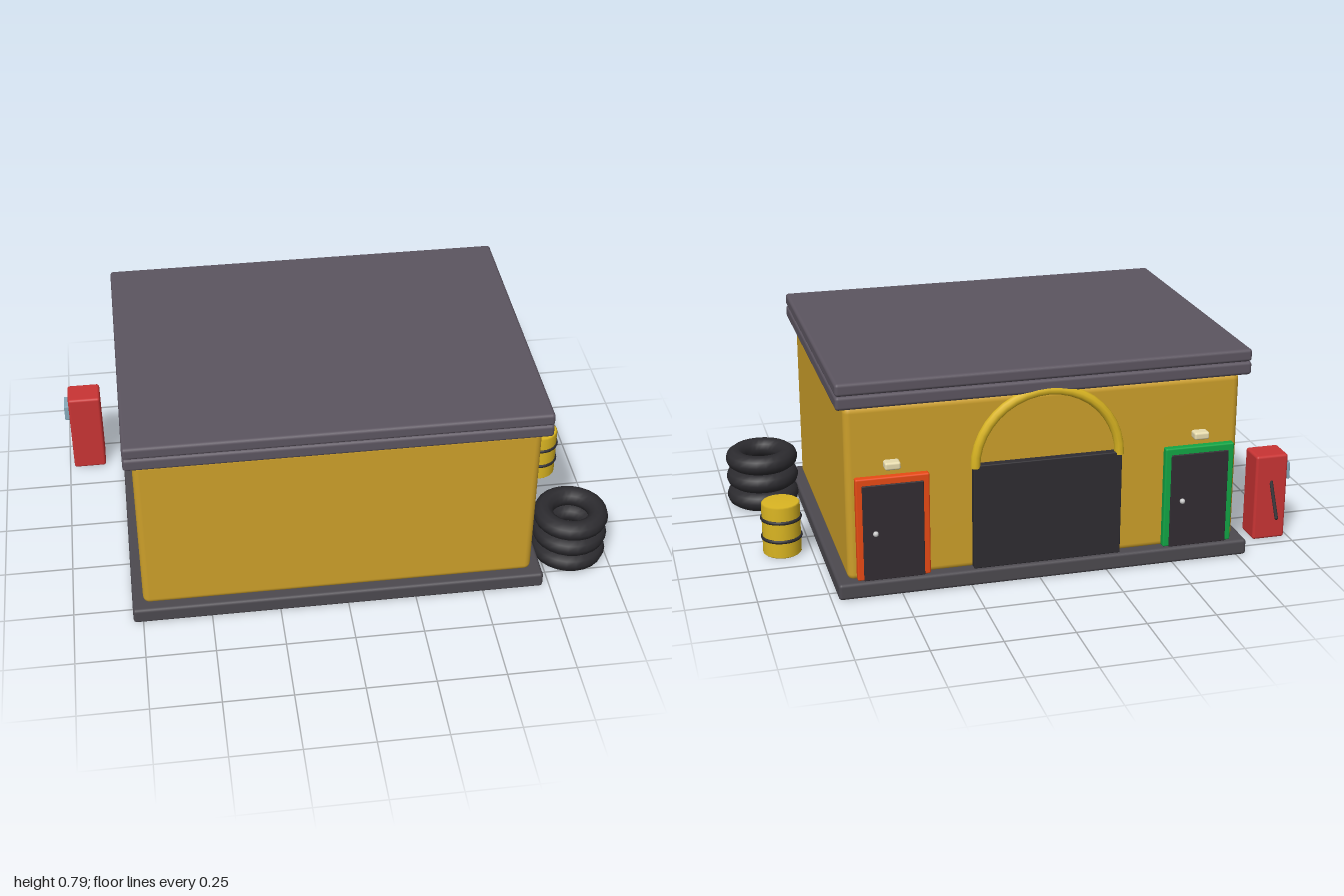
import * as THREE from 'three';
import { RoundedBoxGeometry } from 'three/addons/geometries/RoundedBoxGeometry.js';

const mat = (color) => new THREE.MeshStandardMaterial({ color });
const M = {
  wall: mat(0xcc9f2a), roof: mat(0x5c5560), base: mat(0x4c494f), door: mat(0x322c32),
  shutter: mat(0x2e2c31), orange: mat(0xe84a14), green: mat(0x12a545), yellow: mat(0xdab522),
  rubber: mat(0x2c2b2f), red: mat(0xc93434), screen: mat(0x86a9ba), lamp: mat(0xe8dcae), knob: mat(0xcccccc),
};
const CX = -0.03; // centre line of the building

export function createModel() {
  const root = new THREE.Group();

  const add = (parent, name, geometry, material, x = 0, y = 0, z = 0) => {
    const mesh = new THREE.Mesh(geometry, material);
    mesh.name = name;
    mesh.position.set(x, y, z);
    parent.add(mesh);
    return mesh;
  };
  // Rounded box given by its extents on each axis
  const block = (parent, name, material, [x0, x1], [y0, y1], [z0, z1], r) =>
    add(parent, name, new RoundedBoxGeometry(x1 - x0, y1 - y0, z1 - z0, 3, r), material,
      (x0 + x1) / 2, (y0 + y1) / 2, (z0 + z1) / 2);
  const group = (name) => {
    const g = new THREE.Group();
    g.name = name;
    root.add(g);
    return g;
  };

  // Building shell
  const building = group('building');
  block(building, 'baseSlab', M.base, [-0.785, 0.725], [0, 0.06], [-0.57, 0.575], 0.012);
  block(building, 'walls', M.wall, [-0.745, 0.685], [0.05, 0.695], [-0.53, 0.535], 0.025);
  block(building, 'lowerRoof', M.roof, [-0.775, 0.715], [0.695, 0.744], [-0.56, 0.567], 0.012);
  block(building, 'upperRoof', M.roof, [-0.775, 0.715], [0.744, 0.79], [-0.56, 0.567], 0.012);

  // Shutter with a half-ring arch over it
  const entrance = group('garageEntrance');
  block(entrance, 'shutter', M.shutter, [CX - 0.27, CX + 0.27], [0.06, 0.45], [-0.558, -0.52], 0.004);
  add(entrance, 'arch', new THREE.TorusGeometry(0.262, 0.018, 10, 20, Math.PI), M.yellow, CX, 0.44, -0.546);
  for (const side of [-1, 1]) {
    const cap = add(entrance, 'archEnd', new THREE.CircleGeometry(0.018, 10), M.yellow, CX + side * 0.262, 0.44, -0.546);
    cap.rotation.x = Math.PI / 2;
  }

  // Side doors: frame, panel, knob and lamp
  for (const [name, x, frame] of [['orangeDoor', CX + 0.555, M.orange], ['greenDoor', CX - 0.565, M.green]]) {
    const door = group(name);
    block(door, 'frame', frame, [x - 0.13, x + 0.13], [0.06, 0.44], [-0.554, -0.52], 0.006);
    block(door, 'panel', M.door, [x - 0.108, x + 0.108], [0.06, 0.415], [-0.559, -0.53], 0.003);
    add(door, 'knob', new THREE.SphereGeometry(0.01, 12, 8), M.knob, x + 0.065, 0.238, -0.565);
    block(door, 'lamp', M.lamp, [x - 0.028, x + 0.028], [0.468, 0.496], [-0.568, -0.525], 0.008);
  }

  // Stack of tyres
  const tyres = group('tyreStack');
  for (let i = 0; i < 3; i++) {
    const tyre = add(tyres, 'tyre', new THREE.TorusGeometry(0.102, 0.0375, 10, 24), M.rubber, 0.86, 0.0375 + i * 0.075, 0.392);
    tyre.rotation.x = Math.PI / 2;
  }

  // Oil drum with two hoops
  const drum = group('oilDrum');
  drum.position.set(0.857, 0, -0.108);
  const profile = [[0, 0.002], [0.066, 0.002], [0.071, 0.007], [0.071, 0.197], [0.066, 0.202], [0, 0.202]]
    .map(([r, y]) => new THREE.Vector2(r, y));
  add(drum, 'drumBody', new THREE.LatheGeometry(profile, 24), M.yellow);
  for (const y of [0.068, 0.142]) {
    add(drum, 'hoop', new THREE.TorusGeometry(0.07, 0.007, 8, 28), M.rubber, 0, y, 0).rotation.x = Math.PI / 2;
  }

  // Fuel pump with display and hanging nozzle
  const pump = group('fuelPump');
  block(pump, 'pumpBody', M.red, [-0.982, -0.857], [0.002, 0.335], [-0.462, -0.355], 0.01);
  block(pump, 'display', M.screen, [-1, -0.97], [0.228, 0.294], [-0.445, -0.375], 0.004);
  const hose = new THREE.LineCurve3(new THREE.Vector3(-0.92, 0.245, -0.45), new THREE.Vector3(-0.92, 0.11, -0.522));
  add(pump, 'nozzle', new THREE.TubeGeometry(hose, 1, 0.007, 8), M.rubber);
  for (const t of [0, 1]) {
    const p = hose.getPoint(t);
    add(pump, 'nozzleEnd', new THREE.SphereGeometry(0.007, 8, 6), M.rubber, p.x, p.y, p.z);
  }

  return root;
}
